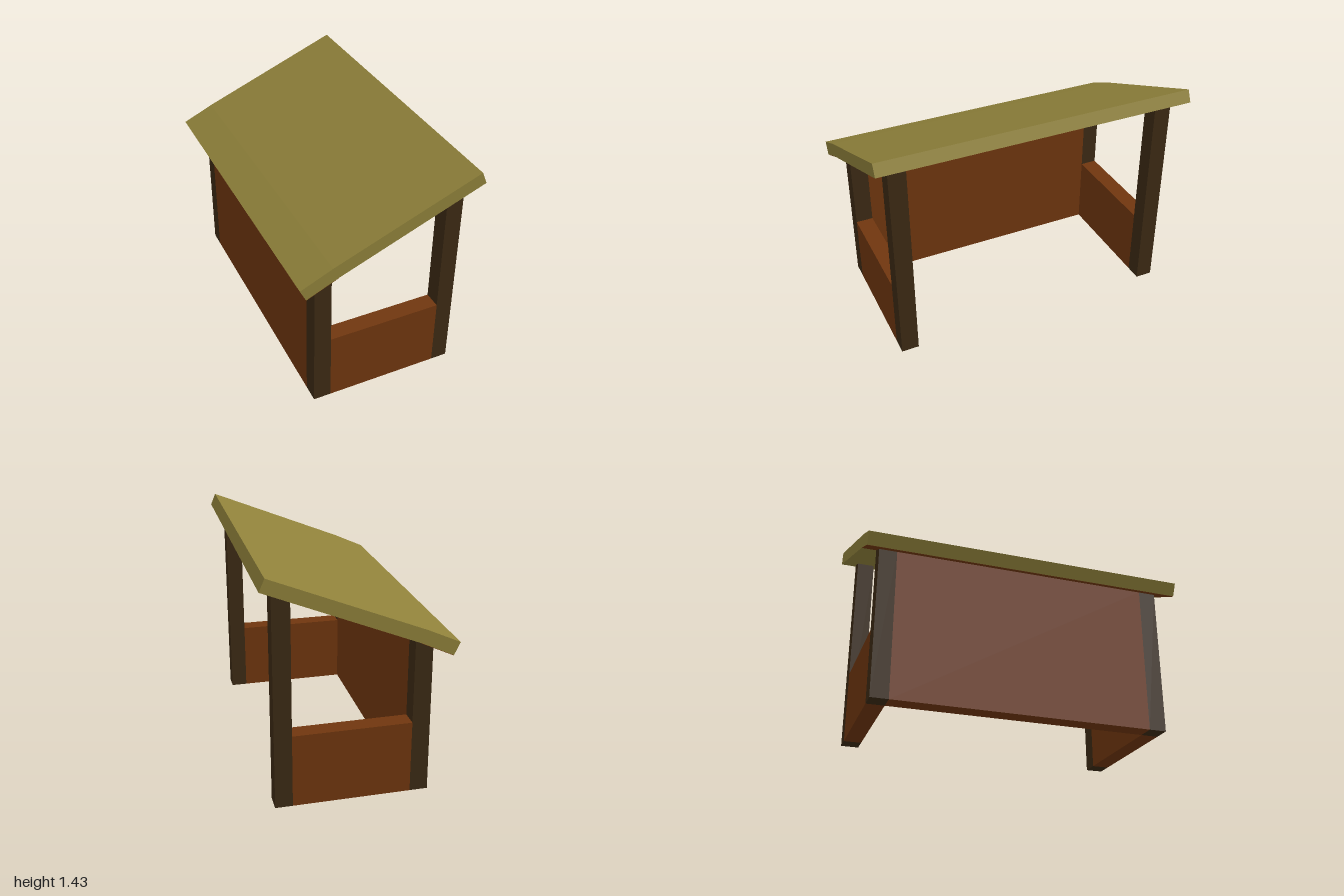
import * as THREE from 'three';

const olive = new THREE.MeshStandardMaterial({ color: 0x8f813a });
const brown = new THREE.MeshStandardMaterial({ color: 0x70360e });
const darkWood = new THREE.MeshStandardMaterial({ color: 0x3c2a14 });

// Extrudes an x-y outline along z, from z0 to z1
function prism(name, outline, z0, z1, material) {
  const shape = new THREE.Shape(outline.map(([x, y]) => new THREE.Vector2(x, y)));
  const geometry = new THREE.ExtrudeGeometry(shape, { depth: z1 - z0, bevelEnabled: false });
  geometry.translate(0, 0, z0);
  const mesh = new THREE.Mesh(geometry, material);
  mesh.name = name;
  return mesh;
}

export function createModel() {
  const group = new THREE.Group();
  group.name = 'shelter';

  // Cross-sections whose sloping tops meet the underside of the roof
  const lowSection = [[-0.445, 0], [-0.335, 0], [-0.335, 0.99], [-0.44, 0.942]];
  const highSection = [[0.38, 0], [0.485, 0], [0.485, 1.325], [0.38, 1.281]];
  const halfSection = [[-0.335, 0], [0.38, 0], [0.38, 0.455], [-0.335, 0.455]];
  const inner = 0.803, outer = 0.912;

  // Posts and half-height end walls at both ends
  for (const [end, z0, z1] of [['front', inner, outer], ['back', -outer, -inner]]) {
    group.add(prism(end + 'LowPost', lowSection, z0, z1, darkWood));
    group.add(prism(end + 'HighPost', highSection, z0, z1, darkWood));
    group.add(prism(end + 'HalfWall', halfSection, z0, z1, brown));
  }

  // Full-height wall along the low side
  group.add(prism('longWall', lowSection, -inner, inner, brown));

  // Bent roof slab
  group.add(prism('roof', [
    [-0.53, 0.9], [-0.335, 0.99], [0.562, 1.356],
    [0.53, 1.43], [-0.37, 1.065], [-0.566, 0.975],
  ], -1, 1, olive));

  // Brown lining under the low eave
  group.add(prism('eaveLining', [
    [-0.529, 0.898], [-0.335, 0.988], [-0.335, 0.99], [-0.53, 0.9],
  ], -1, 1, brown));

  return group;
}
